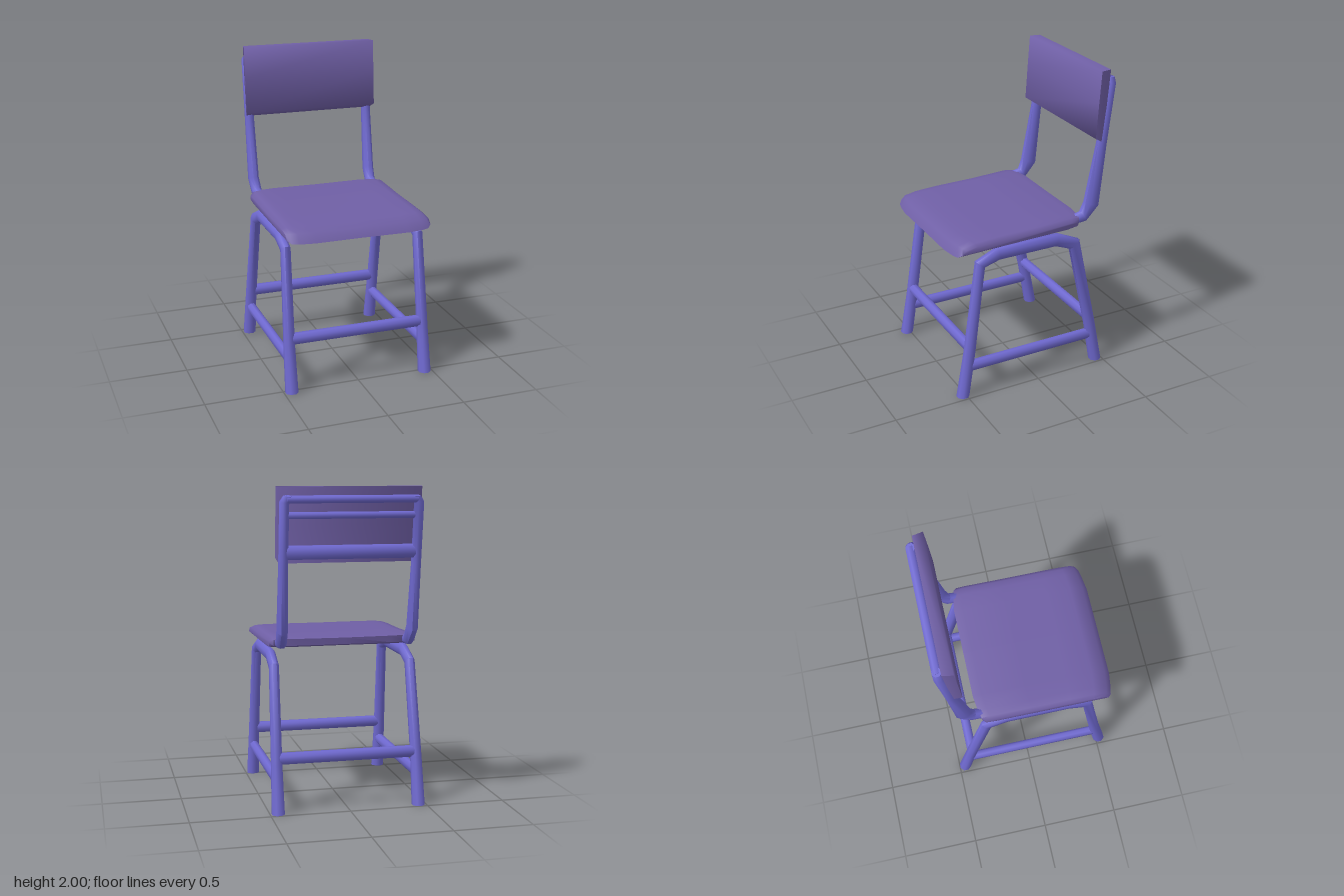
import * as THREE from 'three';
import { toCreasedNormals } from 'three/addons/utils/BufferGeometryUtils.js';

// Closed skin over equal-length rings of Vector3, with fan caps; always wound outwards
function loft(rings, crease) {
  const n = rings[0].length, pts = rings.flat(), idx = [];
  for (let i = 0; i < rings.length - 1; i++) {
    for (let j = 0; j < n; j++) {
      const a = i * n + j, b = i * n + (j + 1) % n;
      idx.push(a, b, a + n, b, b + n, a + n);
    }
  }
  const last = (rings.length - 1) * n;
  for (let j = 1; j < n - 1; j++) idx.push(0, j + 1, j, last, last + j, last + j + 1);
  const centre = pts.reduce((s, p) => s.add(p), new THREE.Vector3()).divideScalar(pts.length);
  let volume = 0;
  for (let k = 0; k < idx.length; k += 3) {
    const [a, b, c] = [0, 1, 2].map((m) => pts[idx[k + m]].clone().sub(centre));
    volume += a.dot(b.cross(c));
  }
  if (volume < 0) idx.reverse();
  const geo = new THREE.BufferGeometry().setFromPoints(pts);
  geo.setIndex(idx);
  return toCreasedNormals(geo, crease);
}

// Bent bar through [x, y, z, radius along side, radius across]
function bar(path, side = new THREE.Vector3(1, 0, 0), sides = 8) {
  const at = (i) => new THREE.Vector3(...path[i].slice(0, 3));
  const end = path.length - 1;
  const rings = path.map((p, i) => {
    const inDir = at(Math.max(i, 1)).sub(at(Math.max(i, 1) - 1)).normalize();
    const next = Math.min(i + 1, end);
    const outDir = at(next).sub(at(next - 1)).normalize();
    const across = inDir.add(outDir).normalize().cross(side).normalize();
    return Array.from({ length: sides }, (_, j) => {
      const t = (j + 0.5) / sides * Math.PI * 2;
      const v = at(i).addScaledVector(side, Math.cos(t) * p[3]).addScaledVector(across, Math.sin(t) * p[4]);
      if (p[1] === 0) v.y = 0; // feet are cut level with the floor
      return v;
    });
  });
  return loft(rings, 1.0);
}

export function createModel() {
  const group = new THREE.Group();
  const frame = new THREE.MeshStandardMaterial({ color: 0x6f69d0 });
  frame.name = 'blue violet frame';
  const shell = new THREE.MeshStandardMaterial({ color: 0x6f5fa5 });
  shell.name = 'muted purple shell';
  const add = (name, geo, mat) => {
    const mesh = new THREE.Mesh(geo, mat);
    mesh.name = name;
    group.add(mesh);
  };

  for (const s of [1, -1]) {
    const side = s > 0 ? 'left' : 'right';
    // Front leg, seat rail and back leg in one arch
    add(side + 'LegArch', bar([
      [s * 0.45, 0, 0.52, 0.042, 0.042],
      [s * 0.448, 0.3, 0.47, 0.036, 0.038],
      [s * 0.438, 0.9, 0.385, 0.032, 0.04],
      [s * 0.436, 0.945, 0.26, 0.032, 0.044],
      [s * 0.436, 0.945, -0.15, 0.032, 0.044],
      [s * 0.438, 0.89, -0.28, 0.032, 0.045],
      [s * 0.448, 0.3, -0.405, 0.036, 0.038],
      [s * 0.45, 0, -0.46, 0.042, 0.042],
    ]), frame);
    // Back post, deep at its bend
    add(side + 'BackPost', bar([
      [s * 0.405, 1.03, -0.22, 0.032, 0.025],
      [s * 0.405, 1.05, -0.36, 0.034, 0.04],
      [s * 0.41, 1.13, -0.415, 0.034, 0.056],
      [s * 0.412, 1.53, -0.475, 0.03, 0.035],
      [s * 0.412, 1.91, -0.525, 0.03, 0.034],
      [s * 0.39, 1.945, -0.53, 0.03, 0.03],
    ]), frame);
    // Low side stretcher
    add(side + 'Stretcher', bar([
      [s * 0.448, 0.207, 0.485, 0.03, 0.037],
      [s * 0.448, 0.207, -0.42, 0.03, 0.037],
    ]), frame);
  }

  // Bars running across the chair: name, y, z, half length, radius in y, radius in z
  const rails = [
    ['frontStretcher', 0.335, 0.465, 0.445, 0.038, 0.033],
    ['backStretcher', 0.335, -0.4, 0.445, 0.038, 0.033],
    ['topBackRail', 1.925, -0.53, 0.4, 0.025, 0.031],
    ['upperBackRail', 1.83, -0.512, 0.4, 0.022, 0.022],
    ['lowerBackRail', 1.61, -0.485, 0.405, 0.045, 0.032],
  ];
  for (const [name, y, z, half, ry, rz] of rails) {
    add(name, bar([[-half, y, z, ry, rz], [half, y, z, ry, rz]], new THREE.Vector3(0, 1, 0)), frame);
  }

  // Seat: side profile [z, y] carried across the width, narrowing at both edges
  const seatProfile = [
    [0.56, 0.978], [0.525, 1.035], [0.44, 1.055], [0.28, 1.064], [0, 1.068], [-0.28, 1.08],
    [-0.335, 1.068], [-0.33, 1.025], [-0.25, 1.005], [0.1, 0.992], [0.42, 0.982],
  ];
  const stations = [[0.468, 0.9, 0.5], [0.445, 0.945, 0.9], [0.4, 0.97, 1], [0.3, 1, 1]];
  const seatStations = [
    ...stations.map(([x, k, h]) => [-x, k, h]), [0, 1, 0.96],
    ...stations.map((st) => st).reverse(),
  ];
  add('seat', loft(seatStations.map(([x, k, h]) => seatProfile.map(([z, y]) =>
    new THREE.Vector3(x, 1.02 + (y - 1.02) * h, 0.11 + (z - 0.11) * k))), 1.2), shell);

  // Backrest panel: leaning side profile, slightly narrower at the rear
  const backProfile = [
    [-0.44, 2], [-0.425, 1.8], [-0.41, 1.575], [-0.46, 1.545], [-0.488, 1.78], [-0.508, 2],
  ];
  add('backrest', loft([-1, 1].map((s) => backProfile.map(([z, y], i) =>
    new THREE.Vector3(s * (i < 3 ? 0.448 : 0.436), y, z))), 1.5), shell);

  return group;
}
